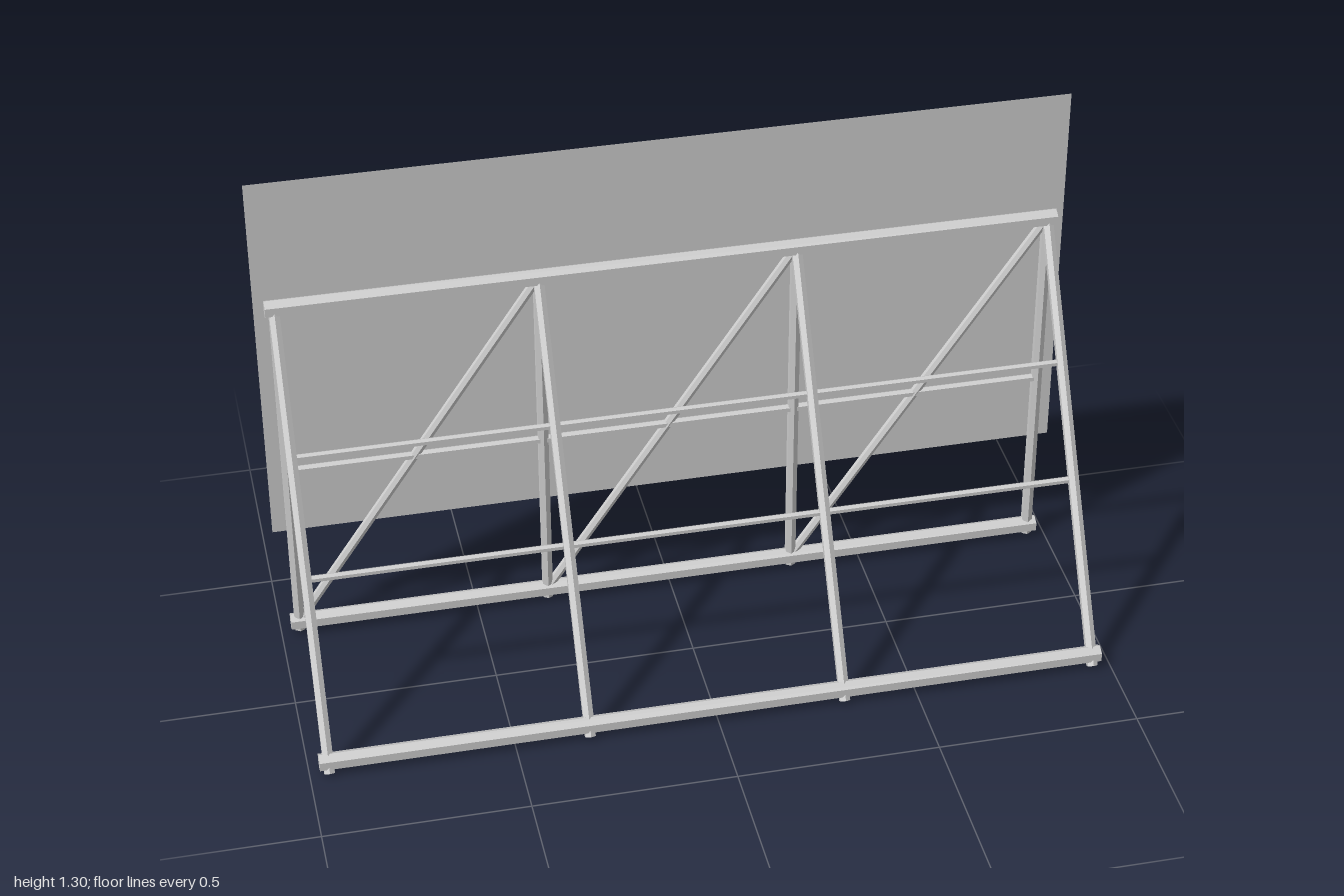
import * as THREE from 'three';

const material = new THREE.MeshStandardMaterial({ color: 0xcccccc, flatShading: true });
const panelMaterial = new THREE.MeshStandardMaterial({ color: 0xcccccc, side: THREE.DoubleSide });
const UP = new THREE.Vector3(0, 1, 0);

// Hexagonal bar between two points, optionally rolled about its own axis
function bar(name, from, to, radius, roll = 0) {
  const a = new THREE.Vector3(...from);
  const b = new THREE.Vector3(...to);
  const geometry = new THREE.CylinderGeometry(radius, radius, a.distanceTo(b), 6);
  geometry.rotateY(roll);
  const mesh = new THREE.Mesh(geometry, material);
  mesh.name = name;
  mesh.position.copy(a).add(b).multiplyScalar(0.5);
  mesh.quaternion.setFromUnitVectors(UP, b.sub(a).normalize());
  return mesh;
}

// Horizontal bar along x with a corner pointing up
function rail(name, halfLength, y, z, radius) {
  return bar(name, [-halfLength, y, z], [halfLength, y, z], radius, Math.PI / 6);
}

export function createModel() {
  const model = new THREE.Group();
  model.name = 'billboardStand';
  const postX = [-0.953, -0.318, 0.318, 0.953];
  const backZ = -0.282;

  // Main rails: ridge, back foot, front foot
  model.add(
    rail('topRail', 0.975, 0.978, backZ, 0.0225),
    rail('backFootRail', 0.975, 0.04, backZ, 0.0225),
    rail('frontFootRail', 0.975, 0.04, 0.273, 0.0225)
  );

  // Thin cross rails: two on the sloping legs, one on the posts
  model.add(
    rail('upperFrontRail', 0.953, 0.667, -0.103, 0.009),
    rail('lowerFrontRail', 0.953, 0.415, 0.045, 0.009),
    rail('backCrossRail', 0.953, 0.504, backZ, 0.011)
  );

  // Upright posts and sloping legs
  for (const x of postX) {
    model.add(
      bar('backPost', [x, 0.016, backZ], [x, 0.978, backZ], 0.0145),
      bar('slopingLeg', [x, 0.015, 0.288], [x, 0.978, backZ], 0.0145)
    );
  }

  // Diagonal brace in each bay
  for (let i = 0; i < 3; i++) {
    model.add(bar('diagonalBrace', [postX[i], 0.04, backZ], [postX[i + 1], 0.978, backZ], 0.0115));
  }

  // Flat board behind the frame
  const board = new THREE.Mesh(new THREE.PlaneGeometry(2, 1), panelMaterial);
  board.name = 'board';
  board.position.set(0, 0.81, -0.302);
  model.add(board);

  // Rest the lowest leg corners on the ground
  const box = new THREE.Box3().setFromObject(model, true);
  for (const part of model.children) part.position.y -= box.min.y;

  return model;
}
